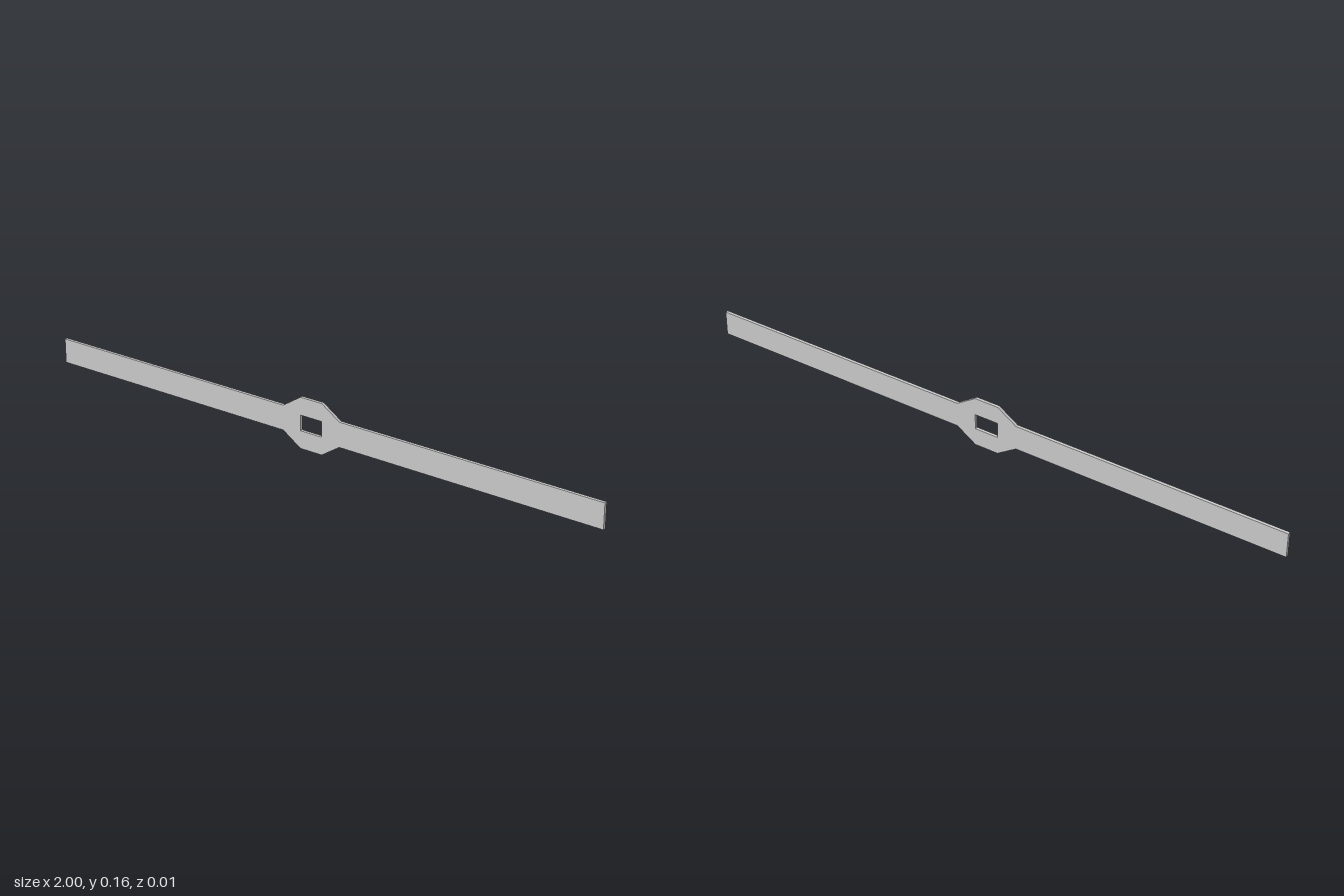
import * as THREE from 'three';

const THICKNESS = 0.01;
const MID_Y = 0.082;

export function createModel() {
  const group = new THREE.Group();
  const material = new THREE.MeshStandardMaterial({ color: 0xcccccc, flatShading: true });

  // Upper half of the outline, mirrored downwards for the lower half
  const upper = [[1, 0.04], [0.105, 0.04], [0.04, 0.082], [-0.04, 0.082], [-0.105, 0.04], [-1, 0.04]];
  const lower = upper.map(([x, y]) => [x, -y]).reverse();
  const toPoints = (list) => list.map(([x, y]) => new THREE.Vector2(x, y));
  const outline = new THREE.Shape(toPoints([...upper, ...lower]));

  // Rectangular slot through the hub
  const slot = [[-0.04, -0.025], [-0.04, 0.025], [0.04, 0.025], [0.04, -0.025]];
  outline.holes.push(new THREE.Path(toPoints(slot)));

  const geometry = new THREE.ExtrudeGeometry(outline, { depth: THICKNESS, bevelEnabled: false });
  geometry.translate(0, MID_Y, -THICKNESS / 2);

  // Flat bar with widened hub
  const bar = new THREE.Mesh(geometry, material);
  bar.name = 'slottedBar';
  group.add(bar);
  return group;
}
